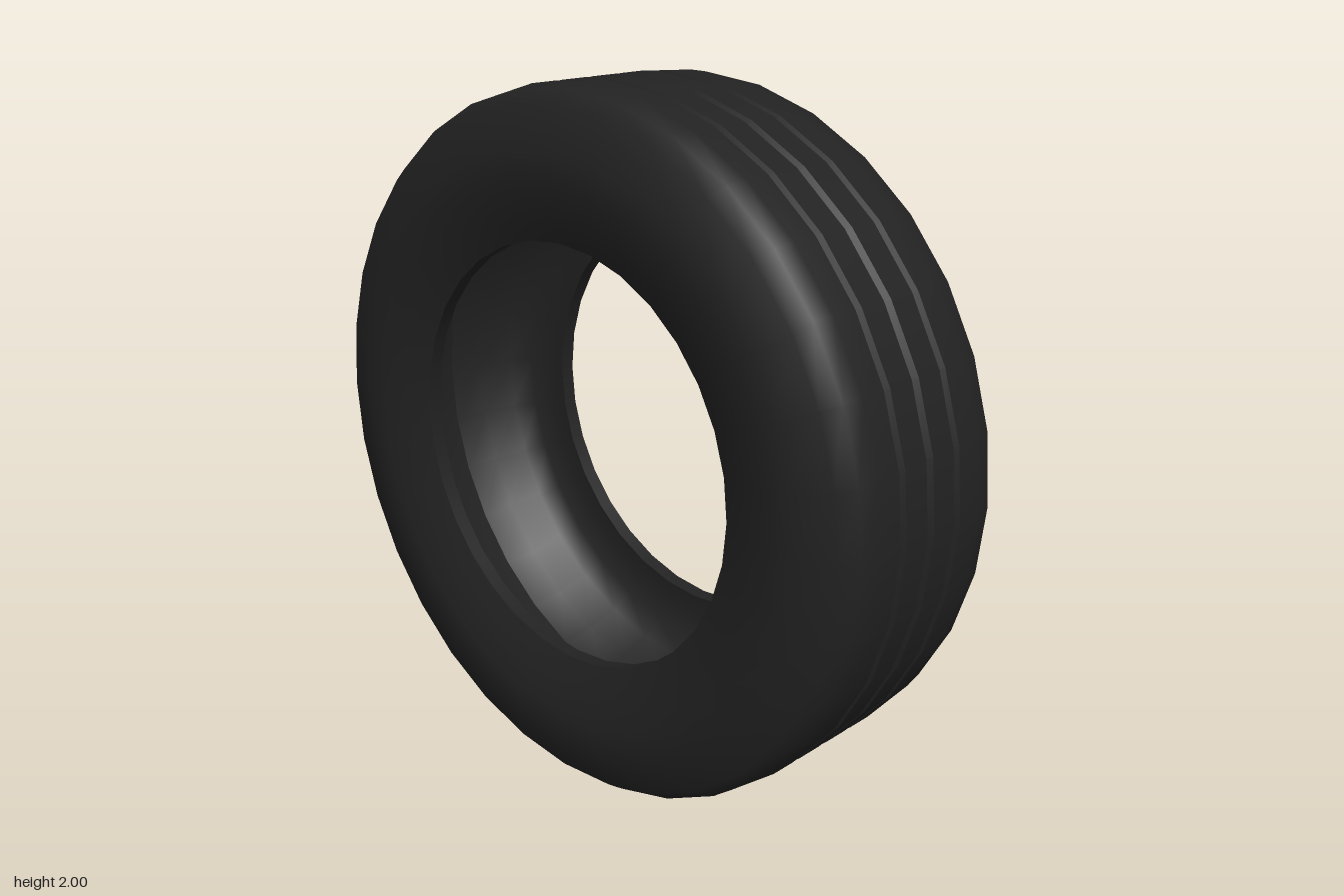
import * as THREE from 'three';

const SEGMENTS = 32;
const rubber = new THREE.MeshStandardMaterial({ color: 0x222222 });

// Revolves [x, radius] points around the x axis; outer skins run from -x to +x
function ring(name, points) {
  const profile = points.map(([x, r]) => new THREE.Vector2(r, x));
  const geometry = new THREE.LatheGeometry(profile, SEGMENTS);
  geometry.rotateZ(-Math.PI / 2);
  const mesh = new THREE.Mesh(geometry, rubber);
  mesh.name = name;
  return mesh;
}

// Builds a ring on the +x side and its mirror on the -x side
function ringPair(name, points) {
  const mirrored = points.map(([x, r]) => [-x, r]).reverse();
  return [ring(name + 'Left', points), ring(name + 'Right', mirrored)];
}

export function createModel() {
  const model = new THREE.Group();
  model.name = 'tyre';
  const tyre = new THREE.Group();
  tyre.name = 'tyreBody';
  tyre.position.y = 1;

  // Outer rib, rounded shoulder and bulging sidewall down to the bead
  tyre.add(...ringPair('sidewall', [
    [0.122, 1], [0.2, 1], [0.26, 0.99], [0.305, 0.957],
    [0.336, 0.84], [0.335, 0.77], [0.318, 0.68], [0.288, 0.6],
  ]));

  // Flat ribs beside the centre groove
  tyre.add(...ringPair('centreRib', [[0.014, 1], [0.098, 1]]));

  // V-shaped tread grooves, each wall its own crisp ring
  for (const x of [-0.11, 0, 0.11]) {
    const w = x === 0 ? 0.014 : 0.012;
    tyre.add(ring('grooveWall', [[x - w, 1], [x, 0.982]]));
    tyre.add(ring('grooveWall', [[x, 0.982], [x + w, 1]]));
  }

  // Bead lip around the opening
  tyre.add(...ringPair('beadLip', [[0.288, 0.6], [0.245, 0.602]]));

  // Hollow inner lining, meeting at a seam in the middle
  tyre.add(...ringPair('innerLining', [
    [0.245, 0.602], [0.25, 0.67], [0.235, 0.74], [0.19, 0.8],
    [0.1, 0.845], [0, 0.865],
  ]));

  model.add(tyre);
  return model;
}
